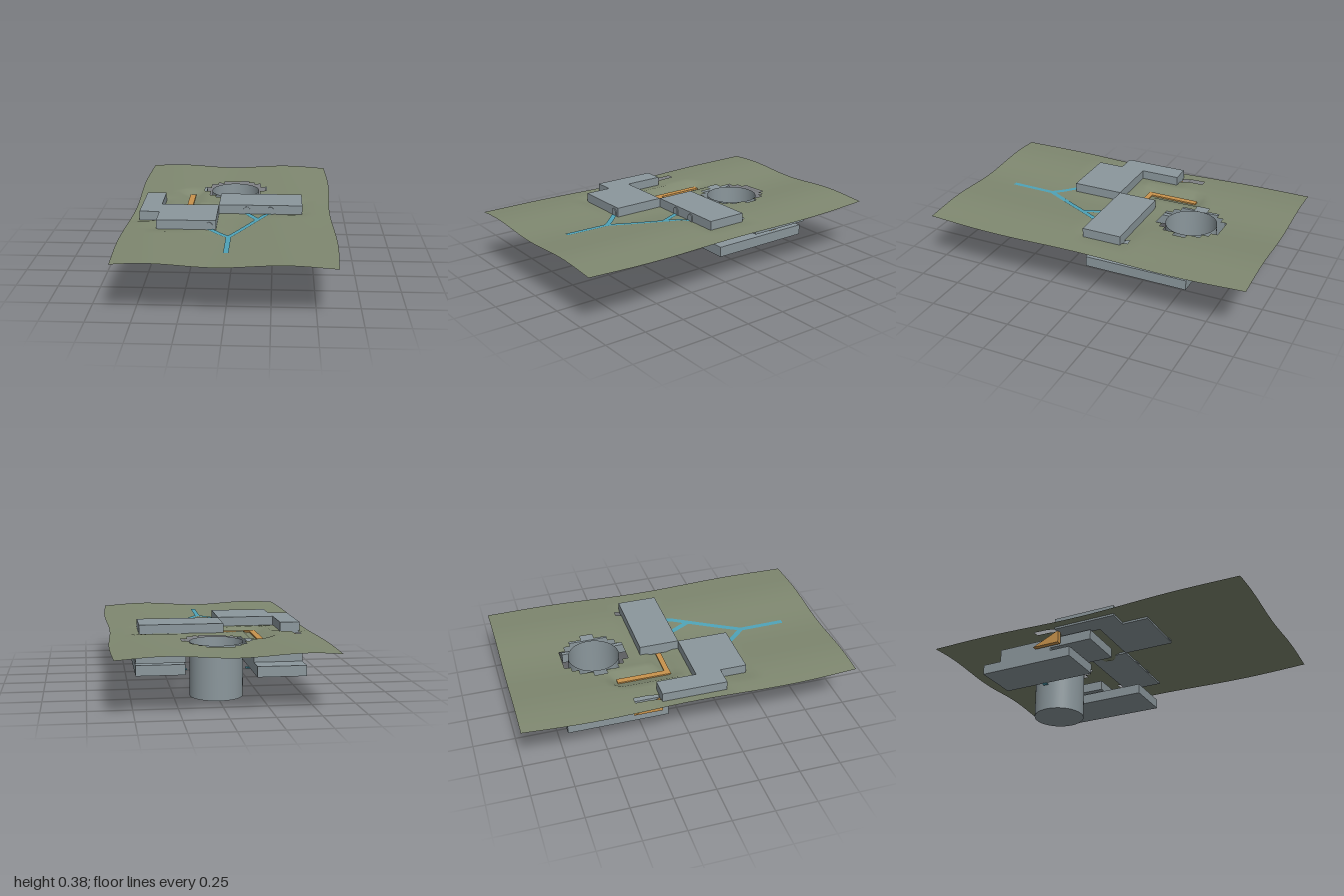
import * as THREE from 'three';

const mat = (name, color, side = THREE.FrontSide) => {
  const m = new THREE.MeshStandardMaterial({ color, side });
  m.name = name;
  return m;
};

// Smoothly 1 inside a rectangle, fading to 0 over a margin
const pad = (x, z, x0, x1, z0, z1, margin) => {
  const dx = Math.max(x0 - x, x - x1, 0), dz = Math.max(z0 - z, z - z1, 0);
  return 1 - THREE.MathUtils.smoothstep(Math.hypot(dx, dz), 0, margin);
};

// Ground height: gentle waves, levelled under the building, sunken along the trench
function ground(x, z) {
  let y = 0.327 + 0.009 * Math.cos((x + 0.42) * Math.PI * 2 / 0.75) + 0.011 * (z * z - 0.4);
  const level = Math.max(
    pad(x, z, -0.55, -0.43, -0.18, 0.21, 0.06),
    pad(x, z, -0.43, -0.08, 0.06, 0.37, 0.08),
    pad(x, z, -0.08, 0.43, -0.18, 0.06, 0.06));
  y += (0.319 - y) * level;
  const trench = Math.max(
    pad(x, z, -0.30, -0.25, -0.38, -0.045, 0.045),
    pad(x, z, -0.30, -0.06, -0.085, -0.045, 0.045));
  return y + (0.297 - y) * Math.min(1, trench * 1.6);
}

export function createModel() {
  const model = new THREE.Group();
  const earth = mat('olive ground', 0x7f8870, THREE.DoubleSide);
  const concrete = mat('blue grey concrete', 0x8b979c);
  const shell = mat('blue grey shell', 0x8b979c, THREE.DoubleSide);
  const water = mat('blue path', 0x4fa3b8, THREE.DoubleSide);
  const ochre = mat('ochre stairs', 0xc8934c);

  const add = (name, geo, material, parent = model) => {
    const m = new THREE.Mesh(geo, material);
    m.name = name;
    parent.add(m);
    return m;
  };
  // Box given by its limits
  const block = (name, x0, x1, y0, y1, z0, z1, material = concrete) =>
    add(name, new THREE.BoxGeometry(x1 - x0, y1 - y0, z1 - z0), material)
      .position.set((x0 + x1) / 2, (y0 + y1) / 2, (z0 + z1) / 2);

  // Terrain sheet with cells left out for the shaft and the stairwells
  const cols = 30, rows = 51, pos = [], idx = [];
  const gx = i => -0.61 + 1.22 * i / cols, gz = j => -1 + 2 * j / rows;
  const open = (x, z) =>
    Math.hypot(x, z + 0.451) < 0.187 ||
    (Math.abs(x + 0.51) < 0.02 && z > -0.34 && z < -0.16) ||
    (Math.abs(x - 0.39) < 0.02 && z > -0.215 && z < -0.07);
  for (let j = 0; j <= rows; j++) for (let i = 0; i <= cols; i++) {
    const x = gx(i), z = gz(j);
    const bulge = 1 + 0.016 * Math.pow(Math.abs(x) / 0.61, 6) * Math.cos((Math.abs(z) - 0.6) * Math.PI * 2 / 1.2);
    pos.push(x * bulge, ground(x, z), z);
  }
  for (let j = 0; j < rows; j++) for (let i = 0; i < cols; i++) {
    if (open(gx(i + 0.5), gz(j + 0.5))) continue;
    const a = j * (cols + 1) + i, b = a + 1, c = a + cols + 1, d = c + 1;
    idx.push(a, c, b, b, c, d);
  }
  const sheet = new THREE.BufferGeometry();
  sheet.setAttribute('position', new THREE.Float32BufferAttribute(pos, 3));
  sheet.setIndex(idx);
  sheet.computeVertexNormals();
  add('terrain', sheet, earth);

  // Surface building
  block('leftWing', -0.55, -0.43, 0.308, 0.375, -0.18, 0.21);
  block('mainHall', -0.43, -0.08, 0.308, 0.375, 0.06, 0.37);
  block('rightWing', -0.08, 0.43, 0.308, 0.375, -0.18, 0.06);

  // Arched doors
  const arch = new THREE.Shape();
  arch.moveTo(-0.02, 0);
  arch.lineTo(0.02, 0);
  arch.lineTo(0.02, 0.032);
  arch.absarc(0, 0.032, 0.02, 0, Math.PI, false);
  arch.closePath();
  const doorGeo = new THREE.ExtrudeGeometry(arch, { depth: 0.006, bevelEnabled: false });
  for (const [x, z] of [[-0.12, 0.37], [0.09, 0.06], [0.235, 0.06]])
    add('door', doorGeo, concrete).position.set(x, 0.313, z);

  // Open shaft with a floor
  const shaft = new THREE.Group();
  shaft.name = 'shaft';
  shaft.position.z = -0.451;
  model.add(shaft);
  add('shaftWall', new THREE.CylinderGeometry(0.155, 0.155, 0.318, 48, 1, true), shell, shaft).position.y = 0.159;
  const floor = add('shaftFloor', new THREE.CircleGeometry(0.155, 48), shell, shaft);
  floor.rotation.x = -Math.PI / 2;

  // Underground floors
  block('rightUpperFloor', 0.195, 0.475, 0.235, 0.295, -0.645, -0.25);
  block('rightLowerFloor', 0.195, 0.475, 0.157, 0.218, -0.61, 0.02);
  block('leftUpperFloor', -0.475, -0.195, 0.235, 0.295, -0.6, 0.02);
  block('leftLowerFloor', -0.475, -0.195, 0.157, 0.218, -0.72, -0.12);
  block('leftFloorLink', -0.475, -0.195, 0.218, 0.235, -0.6, -0.25);

  // Walkways between the shaft and the floors
  for (const s of [-1, 1]) for (const y of [0.157, 0.238]) {
    const x0 = s < 0 ? -0.2 : 0.172;
    block('walkway', x0, x0 + 0.028, y - 0.002, y + 0.002, -0.467, -0.435, water);
  }

  // Wedge stairs running down towards the back
  const stair = (name, x, zHigh, zLow, yHigh, yLow) => {
    const s = new THREE.Shape();
    s.moveTo(-zHigh, yLow);
    s.lineTo(-zLow, yLow);
    s.lineTo(-zHigh, yHigh);
    s.closePath();
    const g = new THREE.ExtrudeGeometry(s, { depth: 0.03, bevelEnabled: false });
    g.translate(0, 0, -0.015);
    g.rotateY(Math.PI / 2);
    add(name, g, ochre).position.x = x;
  };
  stair('leftStair', -0.51, -0.17, -0.34, 0.312, 0.235);
  stair('rightStair', 0.39, -0.07, -0.215, 0.312, 0.235);
  stair('lowerStair', 0.43, -0.38, -0.44, 0.24, 0.218);

  // Sunken L-shaped passage
  block('passageLong', -0.294, -0.257, 0.299, 0.308, -0.375, -0.05, ochre);
  block('passageShort', -0.257, -0.08, 0.299, 0.308, -0.082, -0.05, ochre);

  // Branching path draped over the ground
  const ribbon = (x0, z0, x1, z1) => {
    const g = new THREE.PlaneGeometry(0.03, 1, 1, 14);
    const p = g.attributes.position;
    const len = Math.hypot(x1 - x0, z1 - z0), ux = (x1 - x0) / len, uz = (z1 - z0) / len;
    for (let i = 0; i < p.count; i++) {
      const side = p.getX(i), t = (p.getY(i) + 0.5) * (len + 0.012) - 0.006;
      const x = x0 + ux * t - uz * side, z = z0 + uz * t + ux * side;
      p.setXYZ(i, x, ground(x, z) + 0.004, z);
    }
    g.computeVertexNormals();
    add('path', g, water);
  };
  ribbon(0, 0.77, 0, 0.5);
  ribbon(0, 0.5, -0.12, 0.37);
  ribbon(0, 0.5, 0.16, 0.2);
  ribbon(0.16, 0.2, 0.235, 0.06);
  ribbon(0.16, 0.2, 0.09, 0.06);

  return model;
}
